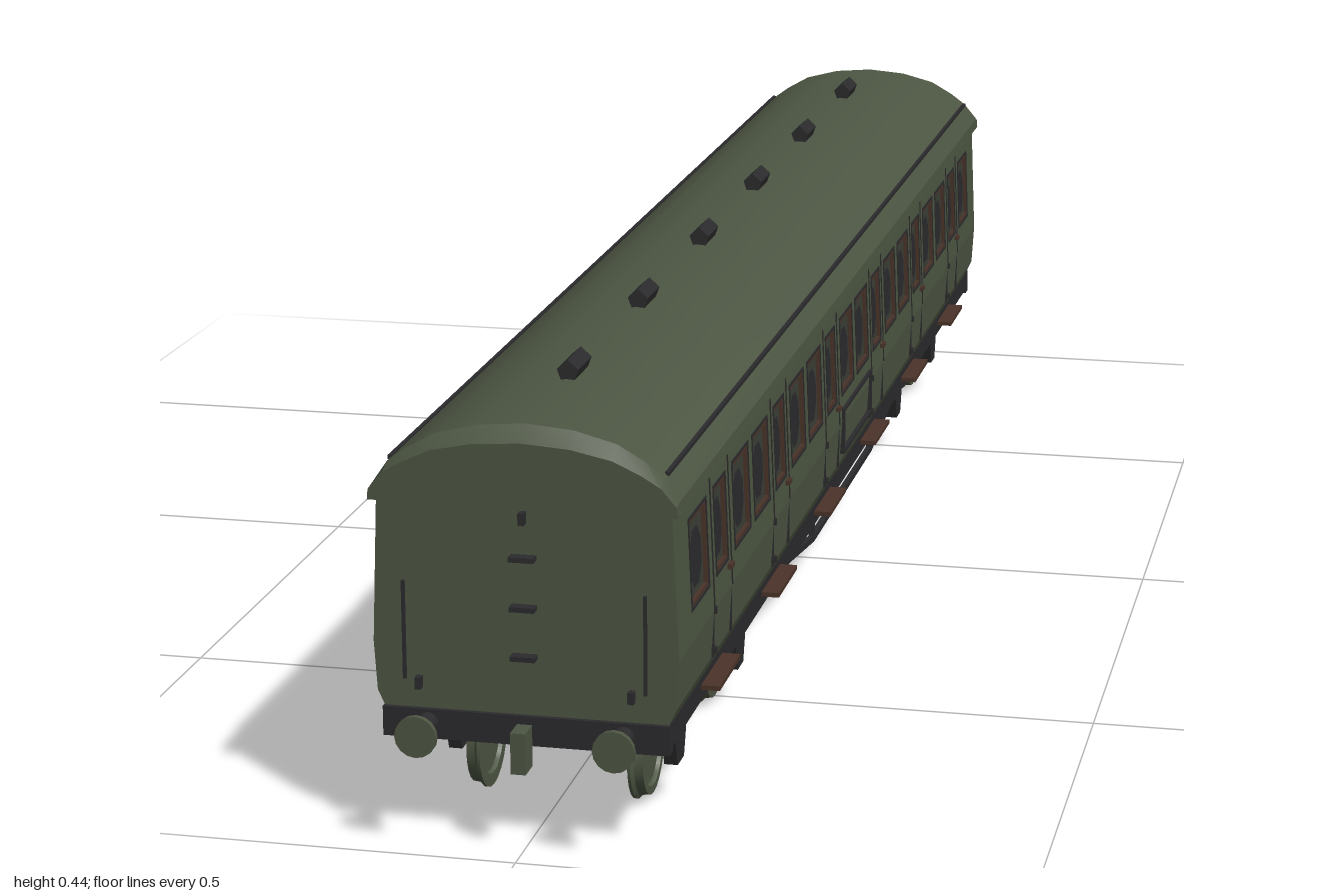
import * as THREE from 'three';
import { toCreasedNormals } from 'three/addons/utils/BufferGeometryUtils.js';

const mat = (name, color) => {
  const m = new THREE.MeshStandardMaterial({ color });
  m.name = name;
  return m;
};

export function createModel() {
  const green = mat('olive green', 0x4d5643);
  const dark = mat('underframe black', 0x2b2b2d);
  const pane = mat('window surround', 0x3b3f35);
  const brown = mat('brown wood', 0x4a3329);
  const root = new THREE.Group();
  root.name = 'railwayCoach';

  const add = (parent, name, geo, material, x = 0, y = 0, z = 0) => {
    const m = new THREE.Mesh(geo, material);
    m.name = name;
    m.position.set(x, y, z);
    parent.add(m);
    return m;
  };
  const box = (parent, name, material, w, h, d, x, y, z) =>
    add(parent, name, new THREE.BoxGeometry(w, h, d), material, x, y, z);
  const cyl = (parent, name, material, r, len, axis, x, y, z, sides = 16) => {
    const g = new THREE.CylinderGeometry(r, r, len, sides);
    if (axis === 'x') g.rotateZ(Math.PI / 2);
    if (axis === 'z') g.rotateX(Math.PI / 2);
    return add(parent, name, g, material, x, y, z);
  };
  // Closed shape mirrored about x = 0 from right-hand points listed bottom to top
  const mirrored = (pts) => new THREE.Shape([
    ...pts.map(([x, y]) => new THREE.Vector2(x, y)),
    ...pts.filter(([x]) => x > 0).reverse().map(([x, y]) => new THREE.Vector2(-x, y)),
  ]);
  const rectPath = (Type, cx, cy, w, h) => new Type([[-1, -1], [1, -1], [1, 1], [-1, 1]]
    .map(([a, b]) => new THREE.Vector2(cx + a * w / 2, cy + b * h / 2)));

  // Body core, narrower above the waist where the window skins sit
  const L = 1.906;
  const core = new THREE.ExtrudeGeometry(
    mirrored([[0.14, 0.13], [0.149, 0.15], [0.152, 0.2], [0.146, 0.2], [0.14, 0.347]]),
    { depth: L, bevelEnabled: false });
  core.translate(0, 0, -L / 2);
  add(root, 'body', core, green);

  // Arched roof with lowered ends
  const roof = new THREE.ExtrudeGeometry(
    mirrored([[0.153, 0.345], [0.152, 0.358], [0.137, 0.38], [0.118, 0.394],
      [0.09, 0.41], [0.048, 0.421], [0, 0.425]]),
    { depth: 3, steps: 3, bevelEnabled: false });
  const rp = roof.attributes.position;
  const stations = [-0.96, -0.943, 0.943, 0.96];
  for (let i = 0; i < rp.count; i++) {
    const s = Math.round(rp.getZ(i));
    rp.setZ(i, stations[s]);
    if (s === 0 || s === 3) rp.setY(i, 0.345 + (rp.getY(i) - 0.345) * 0.81);
  }
  add(root, 'roof', toCreasedNormals(roof, 0.32), green);

  // Ridge ventilators and compartment centres
  const bays = [0.752, 0.452, 0.152, -0.148, -0.448, -0.75];
  const ventGeo = new THREE.ExtrudeGeometry(
    mirrored([[0.006, 0], [0.011, 0.014], [0, 0.024]]),
    { depth: 0.054, bevelEnabled: false }).translate(0, 0, -0.027);
  bays.forEach((z) => add(root, 'roofVentilator', ventGeo, dark, 0, 0.421, z));

  // Window openings: a narrow door light between two wider lights per bay
  const windows = bays.flatMap((z) => [[z + 0.1, 0.075], [z, 0.052], [z - 0.1, 0.075]]);
  const WV = 0.077, WH = 0.088;
  const skinShape = rectPath(THREE.Shape, 0, 0.0725, L, 0.146);
  windows.forEach(([z, w]) => skinShape.holes.push(rectPath(THREE.Path, -z, WV, w, WH)));
  const skinGeo = new THREE.ExtrudeGeometry(skinShape, { depth: 0.006, bevelEnabled: false });

  const frameGeo = (w, h, t, depth) => {
    const s = rectPath(THREE.Shape, 0, 0, w, h);
    s.holes.push(rectPath(THREE.Path, 0, 0, w - 2 * t, h - 2 * t));
    return new THREE.ExtrudeGeometry(s, { depth, bevelEnabled: false });
  };

  for (const side of [1, -1]) {
    // Local axes: +z points out of the side, x runs along the coach
    const sideGroup = new THREE.Group();
    sideGroup.name = side > 0 ? 'leftSide' : 'rightSide';
    sideGroup.rotation.y = side * Math.PI / 2;
    root.add(sideGroup);
    const upper = new THREE.Group();
    upper.name = 'windowBand';
    upper.position.set(0, 0.2, 0.152);
    upper.rotation.x = -0.041;
    sideGroup.add(upper);
    add(upper, 'sidePanel', skinGeo, green, 0, 0, -0.006);

    windows.forEach(([z, w]) => {
      const u = -z;
      box(upper, 'windowPane', pane, w, WH, 0.002, u, WV, -0.005);
      add(upper, 'windowFrame', frameGeo(w, WH, 0.004, 0.004), brown, u, WV, -0.004);
      add(upper, 'windowEdge', frameGeo(w + 0.006, WH + 0.006, 0.003, 0.001), dark, u, WV, 0);
      const glass = new THREE.CircleGeometry(0.5, 8).rotateZ(Math.PI / 8);
      glass.scale(w * 0.74, WH * 0.72, 1);
      add(upper, 'windowGlass', glass, dark, u, WV - 0.003, -0.0032);
    });

    bays.forEach((z) => {
      // Door joints, handle, hinges and step board
      for (const e of [-0.042, 0.042]) {
        box(upper, 'doorJoint', dark, 0.0025, 0.145, 0.002, -z + e, 0.0725, 0);
        box(sideGroup, 'doorJoint', dark, 0.0025, 0.05, 0.003, -z + e, 0.175, 0.1502);
      }
      box(upper, 'doorHandle', brown, 0.014, 0.005, 0.006, -z + 0.03, 0.024, 0.002);
      for (const y of [0.158, 0.2])
        box(sideGroup, 'doorHinge', dark, 0.006, 0.007, 0.006, -z - 0.042, y, 0.1515);
      box(sideGroup, 'stepBoard', brown, 0.1, 0.005, 0.022, -z, 0.12, 0.148);
    });

    // Framed panel low in the middle, and the rain strip
    add(sideGroup, 'panelFrame', frameGeo(0.184, 0.055, 0.004, 0.006), dark, 0, 0.188, 0.149);
    box(sideGroup, 'rainStrip', dark, 1.87, 0.004, 0.004, 0, 0.381, 0.137);

    // Sole bar, truss rod and queen posts
    box(sideGroup, 'soleBar', dark, 1.9, 0.028, 0.012, 0, 0.12, 0.134);
    const truss = [[-0.45, 0.122], [-0.19, 0.086], [0.19, 0.086], [0.45, 0.122]];
    for (let i = 0; i < 3; i++) {
      const [a, b] = [truss[i], truss[i + 1]];
      const len = Math.hypot(b[0] - a[0], b[1] - a[1]);
      const rod = box(sideGroup, 'trussRod', dark, len, 0.007, 0.006,
        (a[0] + b[0]) / 2, (a[1] + b[1]) / 2, 0.135);
      rod.rotation.z = Math.atan2(b[1] - a[1], b[0] - a[0]);
    }
    for (const u of [-0.19, 0.19])
      box(sideGroup, 'queenPost', dark, 0.007, 0.035, 0.006, u, 0.1, 0.135);
  }

  // Underframe floor, battery box and brake cylinder
  box(root, 'floor', dark, 0.275, 0.014, 1.9, 0, 0.125, 0);
  box(root, 'batteryBox', dark, 0.136, 0.03, 0.185, 0, 0.107, 0);
  cyl(root, 'brakeCylinder', dark, 0.018, 0.11, 'x', 0, 0.108, -0.297);

  // Coach ends
  for (const end of [1, -1]) {
    const g = new THREE.Group();
    g.name = end > 0 ? 'frontEnd' : 'backEnd';
    g.rotation.y = end > 0 ? 0 : Math.PI;
    root.add(g);
    box(g, 'headstock', dark, 0.286, 0.03, 0.016, 0, 0.12, 0.95);
    for (const y of [0.195, 0.245, 0.295])
      box(g, 'endStep', dark, 0.025, 0.005, 0.014, 0, y, 0.958);
    box(g, 'lampIron', dark, 0.006, 0.012, 0.012, 0, 0.335, 0.957);
    box(g, 'couplingHook', green, 0.015, 0.042, 0.026, 0, 0.106, 0.972);
    for (const s of [1, -1]) {
      box(g, 'lampIron', dark, 0.006, 0.012, 0.01, s * 0.106, 0.162, 0.957);
      box(g, 'handrail', dark, 0.003, 0.1, 0.004, s * 0.12, 0.215, 0.957);
      cyl(g, 'bufferStock', dark, 0.011, 0.03, 'z', s * 0.098, 0.121, 0.967);
      cyl(g, 'bufferRod', dark, 0.006, 0.03, 'z', s * 0.098, 0.121, 0.982);
      cyl(g, 'bufferHead', green, 0.021, 0.006, 'z', s * 0.098, 0.121, 0.997);
    }
  }

  // Wheel profile: flange on the inner face, tread outside, recessed web
  const wheelGeo = new THREE.LatheGeometry([
    [0, 0.004], [0.038, 0.004], [0.04, 0], [0.053, 0], [0.053, 0.003], [0.049, 0.006],
    [0.048, 0.015], [0.04, 0.015], [0.038, 0.011], [0, 0.011],
  ].map(([r, h]) => new THREE.Vector2(r, h)), 24);
  const wheelMesh = toCreasedNormals(wheelGeo, 0.5).rotateZ(-Math.PI / 2);
  const axleboxShape = mirrored([[0.014, -0.016], [0.024, 0.012], [0.024, 0.02]]);
  const axleboxGeo = new THREE.ExtrudeGeometry(axleboxShape, { depth: 0.014, bevelEnabled: false })
    .rotateY(Math.PI / 2).translate(-0.007, 0, 0);

  for (const zc of [0.657, -0.653]) {
    const bogie = new THREE.Group();
    bogie.name = 'bogie';
    bogie.position.z = zc;
    root.add(bogie);
    box(bogie, 'bolster', dark, 0.22, 0.018, 0.06, 0, 0.09, 0);
    cyl(bogie, 'pivot', dark, 0.03, 0.03, 'y', 0, 0.11, 0);
    for (const e of [-0.19, 0.19])
      box(bogie, 'endBeam', dark, 0.22, 0.012, 0.012, 0, 0.098, e);
    for (const s of [1, -1]) {
      box(bogie, 'sideFrame', dark, 0.014, 0.013, 0.4, s * 0.109, 0.098, 0);
      box(bogie, 'bolsterSpring', dark, 0.016, 0.024, 0.042, s * 0.112, 0.088, 0);
    }
    for (const z of [0.145, -0.145]) {
      cyl(bogie, 'axle', green, 0.007, 0.2, 'x', 0, 0.055, z, 12);
      for (const s of [1, -1]) {
        const w = add(bogie, 'wheel', wheelMesh, green, s * 0.076, 0.053, z);
        if (s < 0) w.rotation.y = Math.PI;
        add(bogie, 'axlebox', axleboxGeo, dark, s * 0.112, 0.057, z);
        box(bogie, 'axleGuard', dark, 0.008, 0.05, 0.026, s * 0.109, 0.072, z);
      }
    }
  }
  return root;
}
